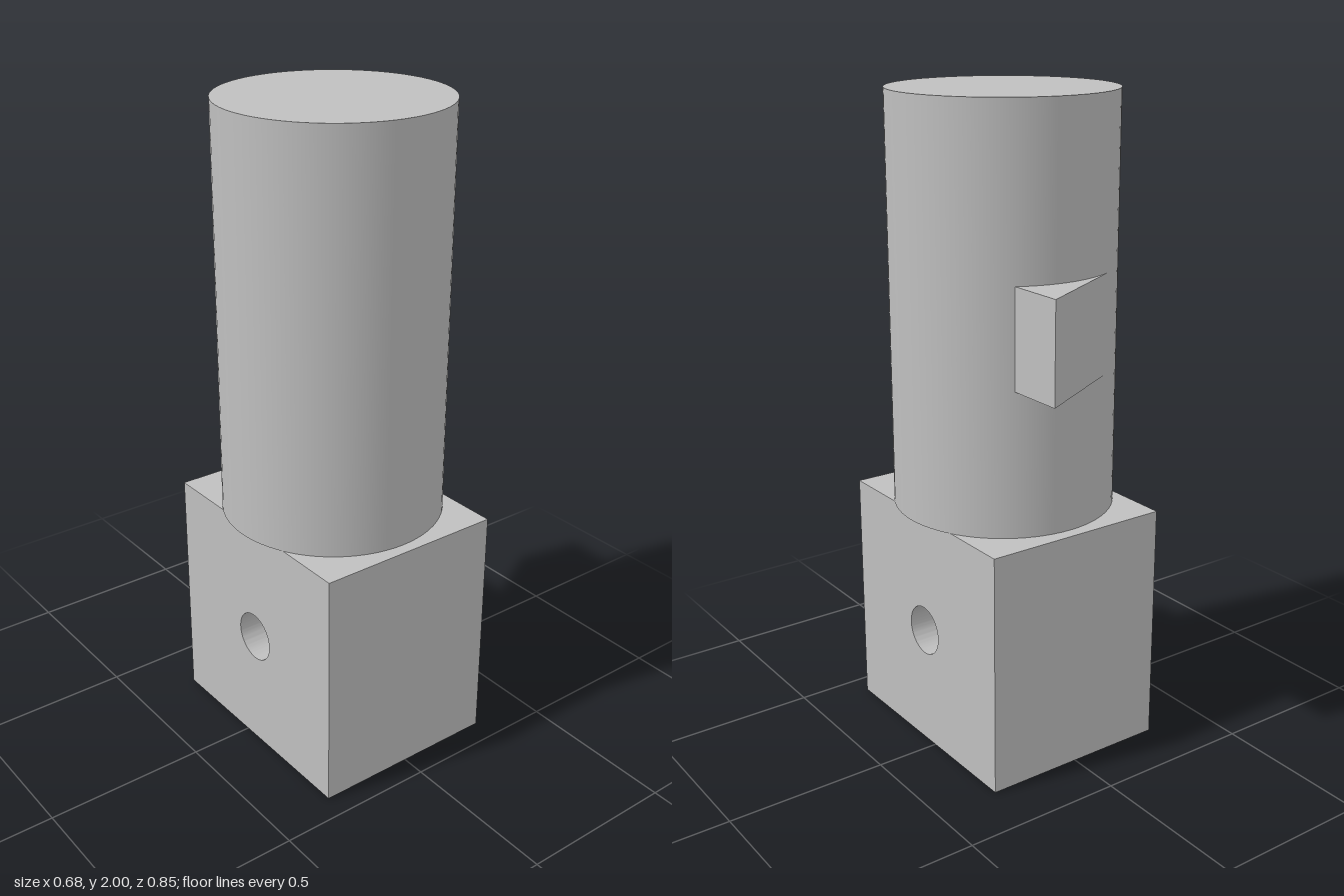
import * as THREE from 'three';
import { toCreasedNormals } from 'three/addons/utils/BufferGeometryUtils.js';

const AXIS_Z = 0.05;   // z of the barrel axis and cross hole
const RADIUS = 0.338;
const BASE_H = 0.755;

export function createModel() {
  const group = new THREE.Group();
  const grey = new THREE.MeshStandardMaterial({ color: 0xbfbfbf });
  grey.name = 'grey';

  const add = (name, geometry) => {
    const mesh = new THREE.Mesh(geometry, grey);
    mesh.name = name;
    group.add(mesh);
  };
  const extrude = (shape, depth) =>
    new THREE.ExtrudeGeometry(shape, { depth, bevelEnabled: false, curveSegments: 48 });

  // Square base, drawn in its side profile (-z, y) with a cross hole through x
  const side = new THREE.Shape();
  side.moveTo(-0.425, 0);
  side.lineTo(0.327, 0);
  side.lineTo(0.327, BASE_H);
  side.lineTo(-0.425, BASE_H);
  side.closePath();
  const hole = new THREE.Path();
  hole.absarc(-AXIS_Z, 0.378, 0.077, 0, Math.PI * 2, true);
  side.holes.push(hole);
  const base = extrude(side, 0.6).translate(0, 0, -0.3).rotateY(Math.PI / 2);
  add('baseBlock', toCreasedNormals(base, 0.6));

  // Round barrel
  const barrel = new THREE.CylinderGeometry(RADIUS, RADIUS, 2 - BASE_H, 72);
  add('barrel', barrel.translate(0, (2 + BASE_H) / 2, AXIS_Z));

  // Rear lug, drawn in plan (x, -z), its inner face following the barrel
  const half = 0.168;
  const a = Math.acos(half / RADIUS);
  const plan = new THREE.Shape();
  plan.moveTo(-half, 0.425);
  plan.absarc(0, -AXIS_Z, RADIUS, Math.PI - a, a, true);
  plan.lineTo(half, 0.425);
  plan.closePath();
  const lug = extrude(plan, 0.3).rotateX(-Math.PI / 2).translate(0, 1.197, 0);
  add('rearLug', toCreasedNormals(lug, 0.6));

  return group;
}
